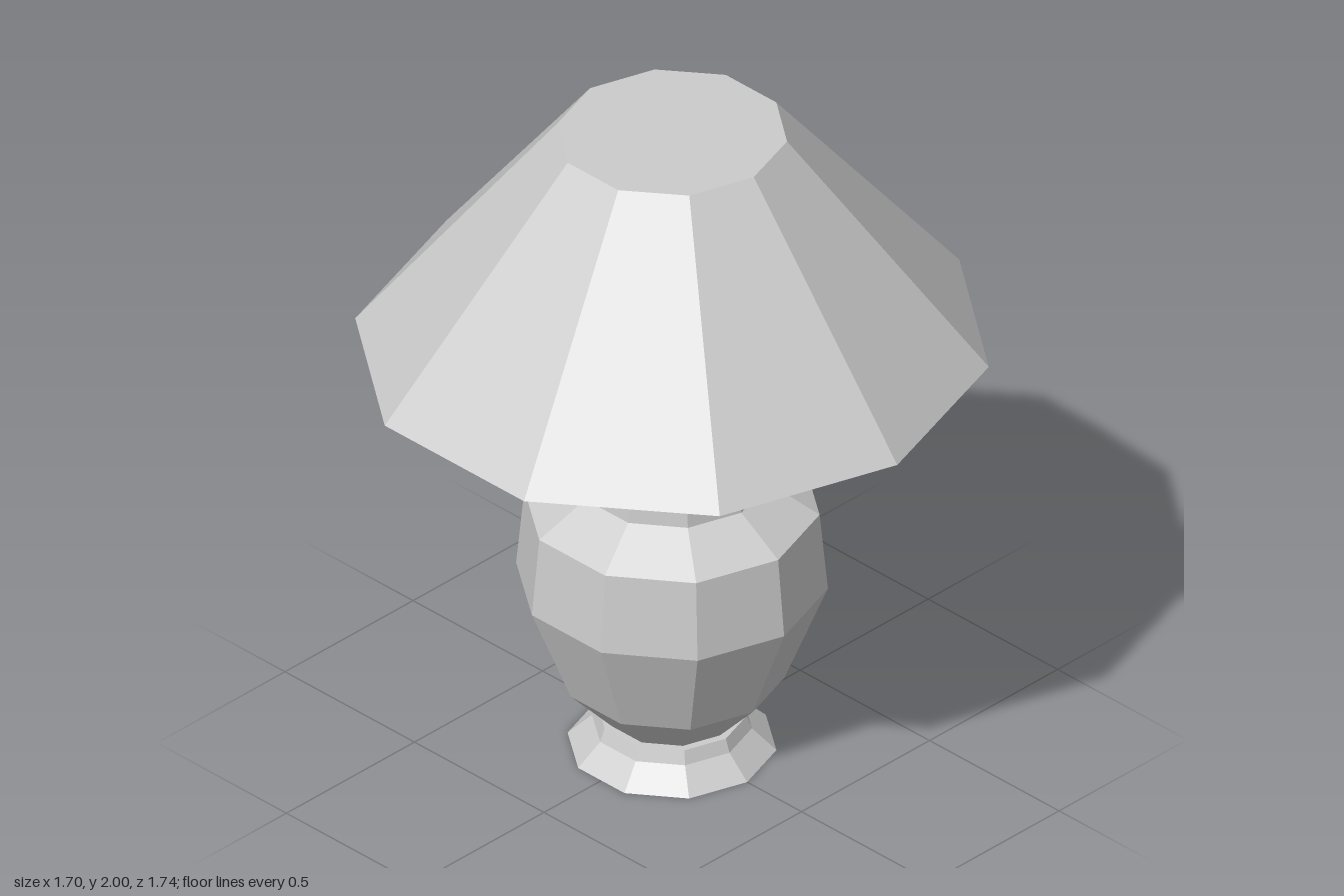
import * as THREE from 'three';

const SIDES = 10;

// Faceted turned part; profile runs [radius, height] from bottom to top.
function turned(name, profile) {
  const points = profile.map(([r, y]) => new THREE.Vector2(r, y));
  const material = new THREE.MeshStandardMaterial({ color: 0xcccccc, flatShading: true });
  const mesh = new THREE.Mesh(new THREE.LatheGeometry(points, SIDES), material);
  mesh.name = name;
  return mesh;
}

export function createModel() {
  const lamp = new THREE.Group();
  lamp.name = 'tableLamp';

  // Flared foot with closed underside
  lamp.add(turned('foot', [[0, 0], [0.29, 0], [0.222, 0.065], [0.208, 0.105], [0, 0.105]]));

  // Urn-shaped body
  lamp.add(turned('body', [
    [0.185, 0.105], [0.312, 0.24], [0.433, 0.545], [0.41, 0.785], [0.268, 0.875],
  ]));

  // Collar and stepped lid
  lamp.add(turned('collar', [
    [0.268, 0.875], [0.262, 0.94], [0.283, 0.975], [0.29, 1.0],
    [0.14, 1.07], [0.13, 1.085], [0.075, 1.14],
  ]));

  // Bulb holder reaching into the shade
  lamp.add(turned('neck', [[0.075, 1.14], [0.11, 1.21], [0.11, 1.44], [0, 1.44]]));

  // Shade: shallow hollow underside, sloping wall, flat top; slightly wider than deep
  const shade = turned('shade', [[0, 1.44], [0.87, 1.31], [0.316, 2], [0, 2]]);
  shade.scale.x = 1.027;
  lamp.add(shade);

  return lamp;
}
